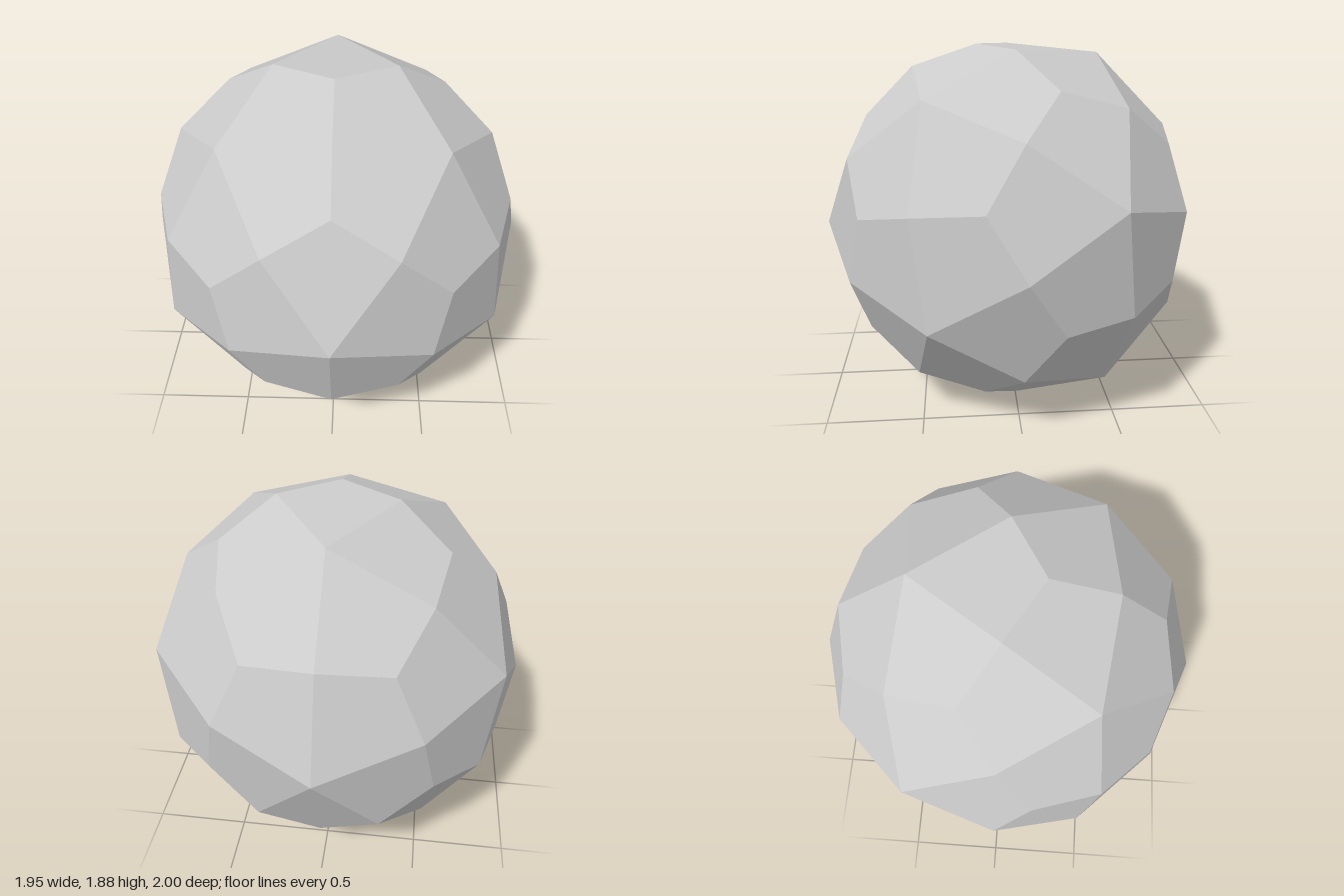
import * as THREE from 'three';

// Radii of the three kinds of corner: five-fold, four-fold and three-fold
const R5 = 1, R4 = 0.97475, R3 = 0.95713;

export function createModel() {
  const group = new THREE.Group();
  group.name = 'kiteBall';

  // Icosahedron corners: two poles on z and two staggered rings of five
  const corners = [new THREE.Vector3(0, 0, 1), new THREE.Vector3(0, 0, -1)];
  const z = 1 / Math.sqrt(5), r = 2 / Math.sqrt(5);
  for (let i = 0; i < 5; i++) {
    const a = -Math.PI / 2 + (i * 2 * Math.PI) / 5;
    corners.push(new THREE.Vector3(r * Math.cos(a), r * Math.sin(a), z));
    corners.push(new THREE.Vector3(-r * Math.cos(a), -r * Math.sin(a), -z));
  }

  const onRadius = (radius, ...points) =>
    points.reduce((sum, p) => sum.add(p), new THREE.Vector3()).setLength(radius);
  const adjacent = (a, b) => a.distanceTo(b) < 1.2;
  const positions = [];

  // One flat kite at corner a of the triangle a, b, c (counter-clockwise from outside)
  function addKite(a, b, c) {
    const tip = onRadius(R5, a), left = onRadius(R4, a, b);
    const heart = onRadius(R3, a, b, c), right = onRadius(R4, a, c);
    for (const p of [tip, left, heart, tip, heart, right]) positions.push(p.x, p.y, p.z);
  }

  // Each of the 20 triangles is split into three kites
  for (let i = 0; i < 12; i++)
    for (let j = i + 1; j < 12; j++)
      for (let k = j + 1; k < 12; k++) {
        let [a, b, c] = [corners[i], corners[j], corners[k]];
        if (!adjacent(a, b) || !adjacent(b, c) || !adjacent(a, c)) continue;
        if (a.dot(b.clone().cross(c)) < 0) [b, c] = [c, b];
        addKite(a, b, c);
        addKite(b, c, a);
        addKite(c, a, b);
      }

  const geometry = new THREE.BufferGeometry();
  geometry.setAttribute('position', new THREE.Float32BufferAttribute(positions, 3));
  geometry.computeVertexNormals();
  geometry.computeBoundingBox();
  geometry.translate(0, -geometry.boundingBox.min.y, 0); // stand on the ground

  const ball = new THREE.Mesh(
    geometry,
    new THREE.MeshStandardMaterial({ color: 0xcccccc, flatShading: true })
  );
  ball.name = 'facetedBall';
  group.add(ball);
  return group;
}
